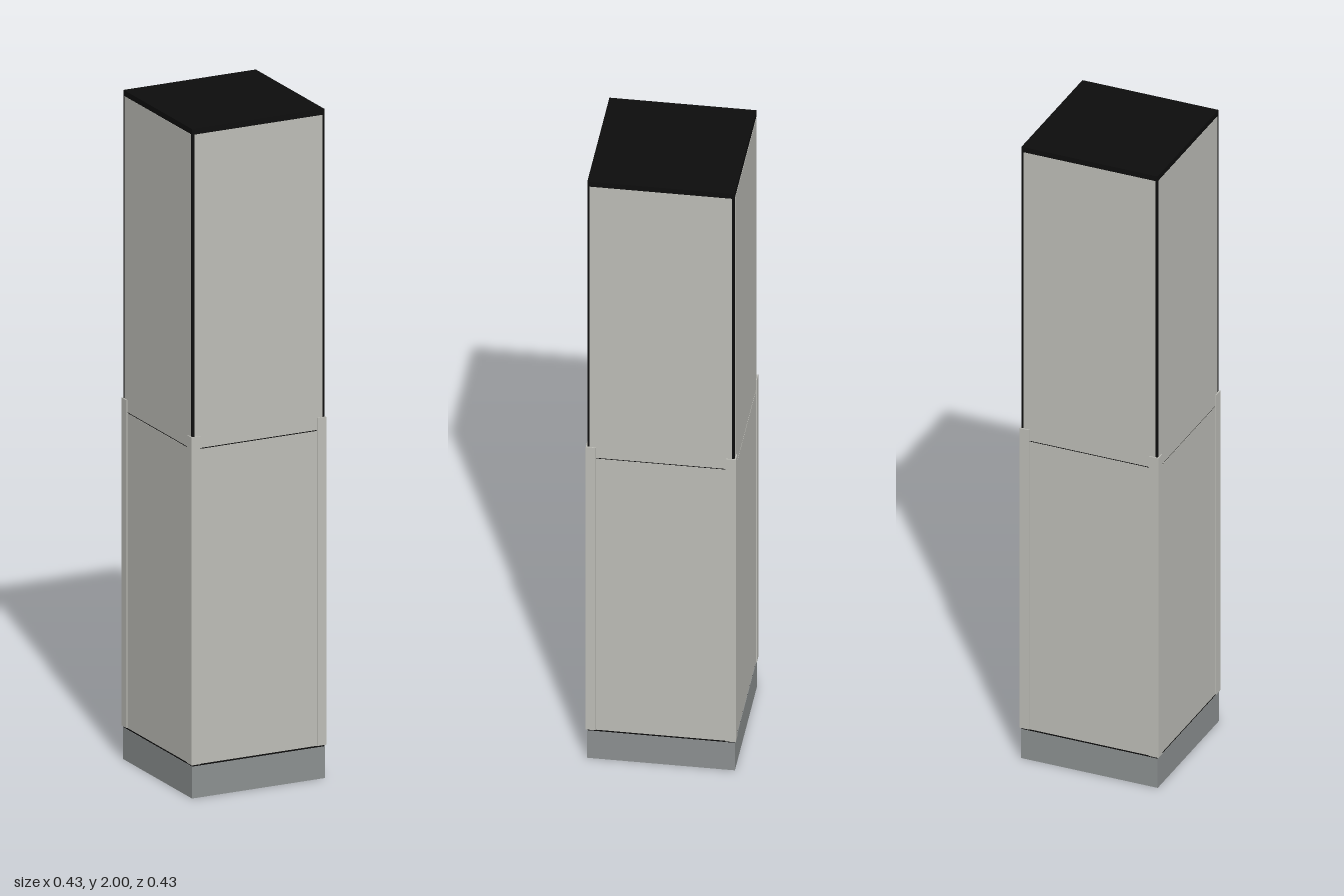
import * as THREE from 'three';

export function createModel() {
  const model = new THREE.Group();
  const black = new THREE.MeshStandardMaterial({ name: 'black core', color: 0x0d0d0d });
  const stone = new THREE.MeshStandardMaterial({ name: 'pale stone', color: 0xbdbdb7 });
  const plinthGrey = new THREE.MeshStandardMaterial({ name: 'plinth grey', color: 0x8c9091 });

  const HALF = 0.2125;   // half width of the core
  const PLINTH = 0.095;  // plinth height

  function addBox(parent, name, material, [w, h, d], [x, y, z]) {
    const mesh = new THREE.Mesh(new THREE.BoxGeometry(w, h, d), material);
    mesh.name = name;
    mesh.position.set(x, y, z);
    parent.add(mesh);
  }

  // Plinth and dark core, whose top is the cap
  addBox(model, 'plinth', plinthGrey, [0.427, PLINTH, 0.427], [0, PLINTH / 2, 0]);
  addBox(model, 'core', black, [2 * HALF, 2 - PLINTH, 2 * HALF], [0, 1 + PLINTH / 2, 0]);

  // L-shaped corner guard, extruded upwards
  const guardShape = new THREE.Shape([
    [0.1875, 0.2165], [0.1875, 0.211], [0.211, 0.211],
    [0.211, 0.1875], [0.2165, 0.1875], [0.2165, 0.2165],
  ].map(([x, y]) => new THREE.Vector2(x, y)));
  const guardGeometry = new THREE.ExtrudeGeometry(guardShape, { depth: 0.98, bevelEnabled: false });
  guardGeometry.rotateX(-Math.PI / 2);

  // Each side carries two cladding panels, and each corner one guard
  for (let i = 0; i < 4; i++) {
    const side = new THREE.Group();
    side.name = 'side' + (i + 1);
    side.rotation.y = i * Math.PI / 2;
    for (const [name, y0, y1] of [['lowerPanel', 0.1, 1.041], ['upperPanel', 1.044, 1.983]]) {
      addBox(side, name, stone, [0.411, y1 - y0, 0.004], [0, (y0 + y1) / 2, HALF - 0.001]);
    }
    const guard = new THREE.Mesh(guardGeometry, stone);
    guard.name = 'cornerGuard';
    guard.position.y = 0.1;
    side.add(guard);
    model.add(side);
  }
  return model;
}
